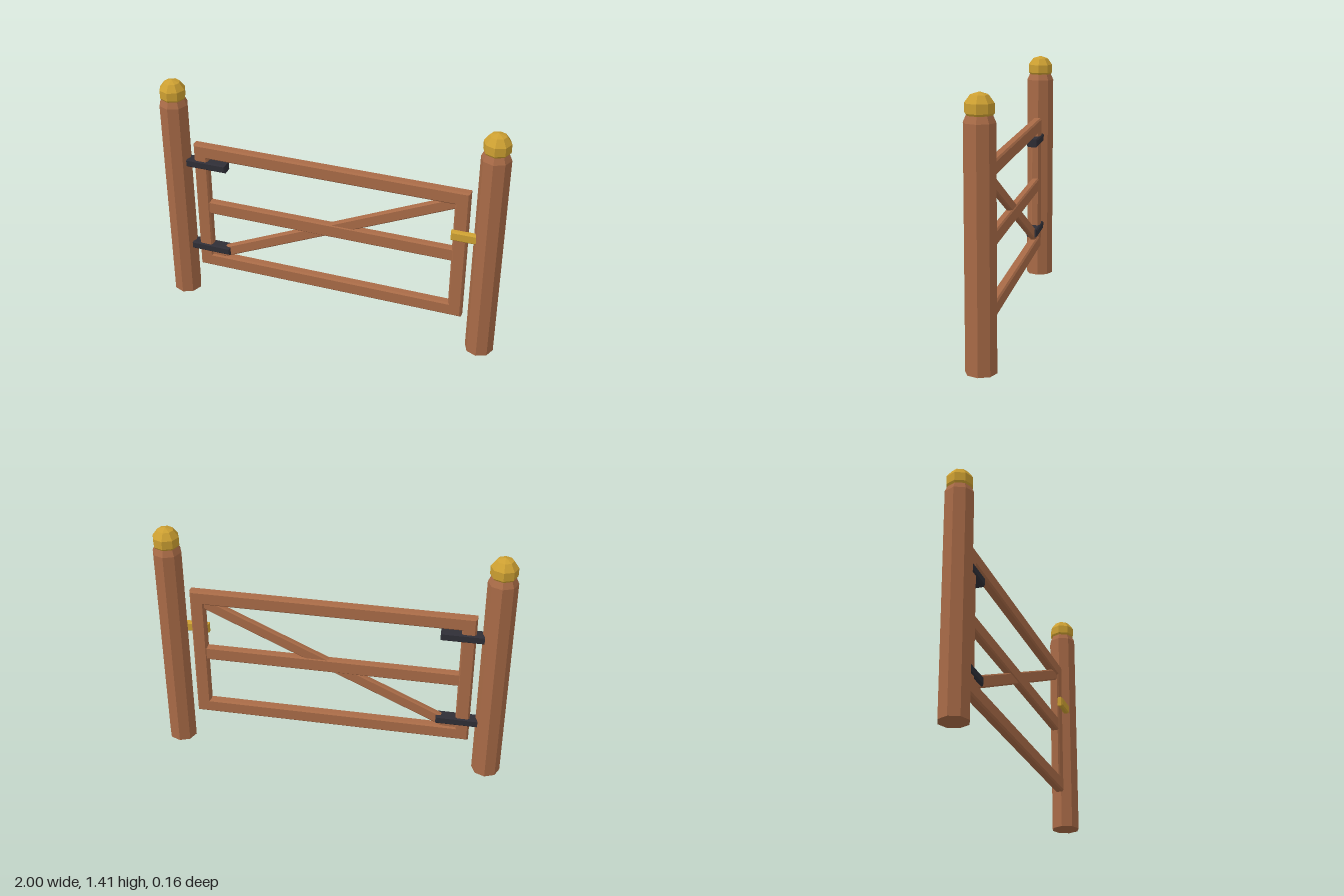
import * as THREE from 'three';

const flat = (name, color) => {
  const m = new THREE.MeshStandardMaterial({ color });
  m.name = name;
  m.flatShading = true;
  return m;
};

// Closed rectangle outline, usable as a shape or a hole
function rect(Type, x0, y0, x1, y1) {
  const p = new Type();
  p.moveTo(x0, y0);
  p.lineTo(x1, y0);
  p.lineTo(x1, y1);
  p.lineTo(x0, y1);
  p.closePath();
  return p;
}

// Extrude from z0 to z1 with chamfered edges kept inside the outline
function chamfered(shape, z0, z1, bevel) {
  const g = new THREE.ExtrudeGeometry(shape, {
    depth: z1 - z0 - 2 * bevel, bevelEnabled: true, bevelSize: bevel,
    bevelThickness: bevel, bevelOffset: -bevel, bevelSegments: 1,
  });
  return g.translate(0, 0, z0 + bevel);
}

export function createModel() {
  const wood = flat('wood', 0xa96b47);
  const brass = flat('brass', 0xcda032);
  const iron = flat('dark iron', 0x2f2e36);

  const model = new THREE.Group();
  model.name = 'gate';
  const add = (name, geometry, material, parent = model) => {
    const mesh = new THREE.Mesh(geometry, material);
    mesh.name = name;
    parent.add(mesh);
    return mesh;
  };

  // Octagonal posts with tapered necks and faceted ball caps
  const profile = [[0, 0], [0.082, 0], [0.082, 1.26], [0.062, 1.305], [0, 1.305]]
    .map(([r, y]) => new THREE.Vector2(r, y));
  for (const side of [-1, 1]) {
    const post = new THREE.Group();
    post.name = side < 0 ? 'rightPost' : 'leftPost';
    post.position.x = side * 0.918;
    add('postShaft', new THREE.LatheGeometry(profile, 8), wood, post);
    add('postCap', new THREE.SphereGeometry(0.078, 8, 5), brass, post).position.y = 1.33;
    model.add(post);
  }

  // Outer frame with one large opening
  const frame = rect(THREE.Shape, -0.803, 0.205, 0.803, 1.03);
  frame.holes.push(rect(THREE.Path, -0.723, 0.287, 0.723, 0.947));
  add('gateFrame', chamfered(frame, -0.027, 0.027, 0.009), wood);

  // Middle rail
  const rail = rect(THREE.Shape, -0.74, 0.576, 0.74, 0.659);
  add('middleRail', chamfered(rail, -0.023, 0.023, 0.008), wood);

  // Diagonal brace, its ends buried in the frame corners
  const brace = rect(THREE.Shape, -0.8, -0.033, 0.8, 0.033);
  const braceMesh = add('diagonalBrace', chamfered(brace, -0.018, 0.018, 0.007), wood);
  braceMesh.position.y = 0.617;
  braceMesh.rotation.z = Math.atan(0.461);

  // Hinge straps between the post and the frame
  for (const [name, y] of [['lowerHinge', 0.333], ['upperHinge', 0.902]]) {
    const strap = rect(THREE.Shape, -0.88, y - 0.025, -0.61, y + 0.025);
    add(name, chamfered(strap, -0.034, 0.034, 0.008), iron);
  }

  // Latch bar on the front face
  const latch = rect(THREE.Shape, 0.717, 0.733, 0.88, 0.791);
  add('latch', chamfered(latch, 0.018, 0.053, 0.008), brass);

  return model;
}
